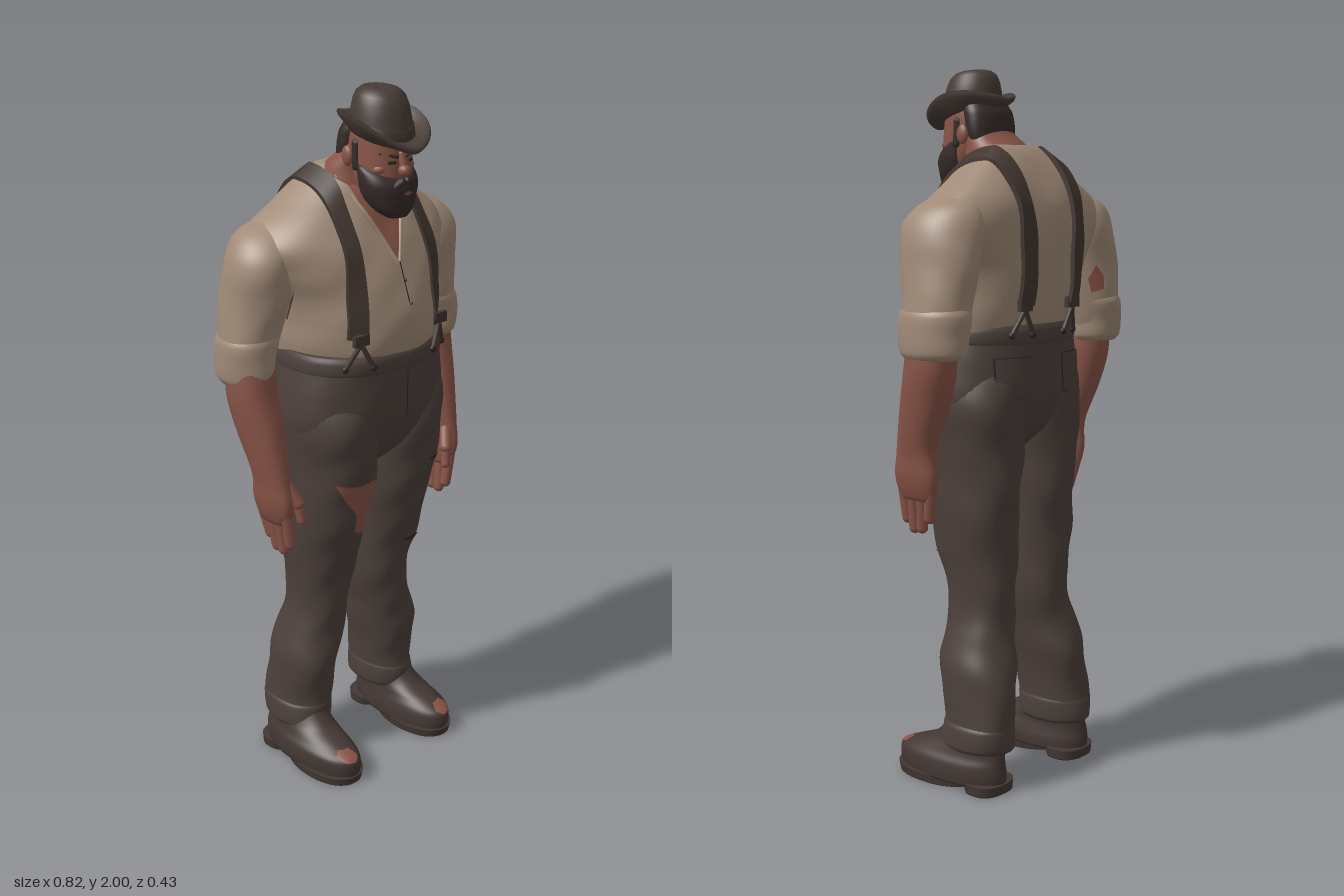
import * as THREE from 'three';
import { toCreasedNormals } from 'three/addons/utils/BufferGeometryUtils.js';

const mat = (name, color, side = THREE.FrontSide) => Object.assign(new THREE.MeshStandardMaterial({ color, side }), { name });
const M = {
  shirt: mat('shirt linen', 0xa08a77), skin: mat('skin', 0x885447),
  trousers: mat('trouser cloth', 0x4c403b), seam: mat('dark seam', 0x2e2624),
  strap: mat('strap leather', 0x41352f), hat: mat('hat felt', 0x473b36, THREE.DoubleSide),
  hair: mat('hair', 0x352b29), boot: mat('boot leather', 0x433733),
};

// A section is [y, centreX, halfWidth, zFront, zBack]; sections rise in y.
const mirror = (secs, s) => secs.map(([y, cx, ...r]) => [y, cx * s, ...r]);

// Body = smooth stack of super-ellipse sections, with soft diagonal cloth folds.
function body(secs, { e = 0.9, bias = 0, fold = 0 } = {}) {
  const tan = (i, k) => {
    const a = secs[Math.max(i - 1, 0)], b = secs[Math.min(i + 1, secs.length - 1)];
    return (b[k] - a[k]) / (b[0] - a[0]);
  };
  const at = (y) => {
    let i = 0;
    while (i < secs.length - 2 && y > secs[i + 1][0]) i++;
    const h = secs[i + 1][0] - secs[i][0], t = THREE.MathUtils.clamp((y - secs[i][0]) / h, 0, 1), t2 = t * t, t3 = t2 * t;
    const [cx, hx, zf, zb] = [1, 2, 3, 4].map((k) => (2 * t3 - 3 * t2 + 1) * secs[i][k] + (t3 - 2 * t2 + t) * h * tan(i, k)
      + (3 * t2 - 2 * t3) * secs[i + 1][k] + (t3 - t2) * h * tan(i + 1, k));
    return { cx, hx, zf, zb, zm: (zf + zb) / 2 + bias };
  };
  const wave = (x, y) => fold * (Math.sin(23 * y + 26 * x) + 0.6 * Math.sin(41 * y - 38 * x));
  const z = (x, y, side) => {
    const s = at(y), u = Math.min(Math.abs((x - s.cx) / s.hx), 1);
    const d = (1 - u ** (2 / e)) ** (e / 2);
    return s.zm + ((side > 0 ? s.zf : s.zb) - s.zm) * d + wave(x, y);
  };
  return { secs, at, wave, z, e };
}

function loftGeometry(b, cols = 44) {
  const y0 = b.secs[0][0], y1 = b.secs.at(-1)[0], rows = b.secs.length * 5, pos = [], idx = [];
  for (let j = -1; j <= rows + 1; j++) {
    const y = y0 + (y1 - y0) * THREE.MathUtils.clamp(j / rows, 0, 1), s = b.at(y), k = j < 0 || j > rows ? 0 : 1;
    for (let i = 0; i < cols; i++) {
      const a = (i / cols) * Math.PI * 2, c = Math.cos(a), n = Math.sin(a);
      const x = s.cx + k * s.hx * Math.sign(c) * Math.abs(c) ** b.e;
      pos.push(x, y, s.zm + k * ((n > 0 ? s.zf : s.zb) - s.zm) * Math.abs(n) ** b.e + b.wave(x, y));
    }
  }
  for (let j = 0; j < rows + 2; j++) for (let i = 0; i < cols; i++) {
    const a = j * cols + i, c = j * cols + (i + 1) % cols;
    idx.push(a, a + cols, c, c, a + cols, c + cols);
  }
  return indexed(pos, idx);
}

function indexed(pos, idx) {
  const g = new THREE.BufferGeometry();
  g.setAttribute('position', new THREE.Float32BufferAttribute(pos, 3));
  g.setIndex(idx);
  g.computeVertexNormals();
  return g;
}

// Thin painted patch that hugs the front (side 1) or back (side -1) of a body.
function patchGeometry(b, poly, side = 1, lift = 0.004) {
  const pts = [], pos = [], idx = [], rings = 6;
  poly.forEach((p, i) => {
    const q = poly[(i + 1) % poly.length];
    for (let k = 0; k < 4; k++) pts.push([p[0] + (q[0] - p[0]) * k / 4, p[1] + (q[1] - p[1]) * k / 4]);
  });
  const n = pts.length, mx = pts.reduce((s, p) => s + p[0] / n, 0), my = pts.reduce((s, p) => s + p[1] / n, 0);
  const area = pts.reduce((s, p, i) => s + p[0] * pts[(i + 1) % n][1] - p[1] * pts[(i + 1) % n][0], 0);
  for (let r = 0; r <= rings; r++) for (const p of pts) {
    const x = mx + (p[0] - mx) * r / rings, y = my + (p[1] - my) * r / rings;
    pos.push(x, y, b.z(x, y, side) + side * lift);
  }
  for (let r = 0; r < rings; r++) for (let i = 0; i < n; i++) {
    const a = r * n + i, c = r * n + (i + 1) % n;
    if (area * side > 0) idx.push(a, a + n, c, c, a + n, c + n);
    else idx.push(a, c, a + n, c, c + n, a + n);
  }
  return indexed(pos, idx);
}

export function createModel() {
  const root = new THREE.Group();
  root.name = 'workman';
  const add = (name, geo, m, parent = root) => {
    const mesh = new THREE.Mesh(geo, m);
    mesh.name = name;
    parent.add(mesh);
    return mesh;
  };
  const limb = (name, a, b, r, m) => {
    const A = new THREE.Vector3(...a), B = new THREE.Vector3(...b), d = B.clone().sub(A);
    const mesh = add(name, new THREE.CapsuleGeometry(r, d.length(), 5, 10), m);
    mesh.position.copy(A).add(B).multiplyScalar(0.5);
    mesh.quaternion.setFromUnitVectors(new THREE.Vector3(0, 1, 0), d.normalize());
  };
  const ball = (name, p, s, m) => {
    const mesh = add(name, new THREE.SphereGeometry(1, 18, 12), m);
    mesh.position.set(...p);
    mesh.scale.set(...s);
  };
  const rect = (x, y, w, h) => [[x - w, y - h], [x + w, y - h], [x + w, y + h], [x - w, y + h]];

  // Shirt body with sloping shoulders and open neck
  const torso = body([[1.27, 0, .222, .18, -.165], [1.33, 0, .235, .2, -.178], [1.4, 0, .24, .203, -.19], [1.47, 0, .258, .188, -.196], [1.54, 0, .3, .165, -.198],
    [1.6, 0, .325, .14, -.194], [1.65, 0, .292, .115, -.183], [1.71, 0, .205, .088, -.155], [1.76, 0, .135, .065, -.12], [1.785, 0, .1, .045, -.094], [1.795, 0, .088, .035, -.078]],
  { e: 0.9, bias: -0.05, fold: 0.0025 });
  add('shirtBody', loftGeometry(torso, 64), M.shirt);
  add('openNeck', patchGeometry(torso, [[-.09, 1.775], [-.058, 1.67], [.004, 1.55], [.06, 1.67], [.09, 1.775]]), M.skin);
  add('shirtSlit', patchGeometry(torso, rect(.005, 1.5, .002, .055)), M.seam);
  for (const y of [1.5, 1.44]) ball('shirtButton', [.012, y, torso.z(.012, y, 1) + .002], [.004, .004, .004], M.strap);
  for (const s of [-1, 1]) {
    const edge = [[.093, 1.772], [.063, 1.68], [.036, 1.625], [.004, 1.548]].map(([x, y]) => new THREE.Vector3(x * s, y, torso.z(x * s, y, 1) + .002));
    add('collarEdge', new THREE.TubeGeometry(new THREE.CatmullRomCurve3(edge), 20, .006, 8), M.shirt);
  }

  // Trousers seat and waistband
  const seat = body([[.93, 0, .08, .05, -.06], [.97, 0, .16, .1, -.1], [1.01, 0, .215, .138, -.138], [1.06, 0, .245, .166, -.16], [1.12, 0, .257, .183, -.175],
    [1.2, 0, .25, .188, -.177], [1.27, 0, .237, .19, -.178], [1.305, 0, .232, .19, -.178]], { e: .82, fold: 0.0015 });
  add('trouserSeat', loftGeometry(seat, 56), M.trousers);
  add('waistband', loftGeometry(body([[1.255, 0, .235, .188, -.177], [1.265, 0, .24, .194, -.182], [1.295, 0, .238, .196, -.183], [1.312, 0, .231, .188, -.176]], { e: .83, fold: 0.0015 }), 56), M.trousers);
  add('flySeam', patchGeometry(seat, rect(.012, 1.18, .002, .07)), M.seam);
  for (const s of [-1, 1]) {
    const pocket = (k) => [[-.055, .055], [.055, .055], [.055, -.05], [0, -.07], [-.055, -.05]].map(([x, y]) => [s * .125 + x * k, 1.17 + y * k]);
    add('backPocketEdge', patchGeometry(seat, pocket(1), -1, .004), M.seam);
    add('backPocket', patchGeometry(seat, pocket(.96), -1, .007), M.trousers);
  }

  for (const s of [-1, 1]) {
    // Trouser leg with turned hem
    const leg = body(mirror([[.125, .172, .07, .02, -.175], [.14, .172, .08, .03, -.187], [.2, .168, .079, .03, -.188], [.28, .163, .083, .042, -.182],
      [.35, .155, .089, .052, -.174], [.42, .14, .084, .05, -.156], [.5, .121, .083, .052, -.145], [.6, .117, .09, .068, -.142], [.7, .121, .098, .095, -.148],
      [.8, .122, .107, .123, -.154], [.9, .12, .114, .15, -.16], [1, .122, .12, .165, -.166], [1.09, .127, .126, .174, -.17], [1.16, .125, .117, .165, -.16], [1.22, .12, .1, .13, -.13]], s),
    { e: .88, fold: .004 });
    add('trouserLeg', loftGeometry(leg), M.trousers);
    add('trouserHem', loftGeometry(body(mirror([[.115, .172, .076, .024, -.18], [.125, .172, .083, .033, -.189], [.18, .17, .083, .033, -.19], [.194, .169, .077, .026, -.184]], s), { fold: .004 })), M.trousers);
    if (s < 0) add('thighTear', patchGeometry(leg, [[-.2, .945], [-.13, .93], [-.07, .935], [-.055, .87], [-.065, .84], [-.06, .785], [-.085, .76], [-.12, .775], [-.13, .84], [-.17, .89]]), M.skin);
    else for (const [x, y] of [[.17, .94], [.15, .66]]) {
      add('trouserRip', patchGeometry(leg, [[x - .04, y], [x, y - .011], [x + .045, y + .004], [x, y + .008]]), M.seam);
    }

    // Boot: upper, sole, heel and worn toe
    const upper = body(mirror([[.022, .186, .08, .195, -.178], [.05, .187, .081, .198, -.181], [.078, .188, .077, .19, -.178], [.1, .185, .069, .145, -.175],
      [.13, .18, .065, .07, -.172], [.18, .174, .06, .02, -.165]], s), { e: .95 });
    add('bootUpper', loftGeometry(upper), M.boot);
    add('bootSole', loftGeometry(body(mirror([[0, .187, .078, .194, -.07], [.026, .187, .082, .199, -.07]], s), { e: .92 })), M.boot);
    add('bootHeel', loftGeometry(body(mirror([[0, .183, .07, -.07, -.18], [.03, .183, .073, -.06, -.183]], s), { e: .78 })), M.boot);
    add('toeHole', patchGeometry(upper, [[.166, .084], [.185, .073], [.215, .075], [.228, .086], [.21, .099], [.178, .098]].map(([x, y]) => [x * s, y])), M.skin);

    // Sleeve and rolled cuff; the right arm hangs a little further back
    const hang = (secs) => mirror(secs, s).map(([y, cx, hx, zf, zb]) => [y, cx, hx, zf + (s < 0 ? -.022 : .008), zb]);
    const sleeve = body(hang([[1.25, .337, .065, .012, -.15], [1.32, .328, .08, .026, -.165], [1.4, .313, .088, .038, -.17], [1.48, .299, .092, .052, -.174],
      [1.54, .288, .097, .06, -.174], [1.59, .277, .093, .055, -.168], [1.63, .262, .077, .03, -.152], [1.655, .245, .05, -.005, -.125], [1.665, .235, .03, -.025, -.1]]), { e: 1, fold: .003 });
    add('sleeve', loftGeometry(sleeve), M.shirt);
    add('rolledCuff', loftGeometry(body(hang([[1.235, .338, .062, .015, -.15], [1.25, .337, .072, .026, -.165], [1.3, .335, .077, .032, -.172],
      [1.35, .326, .084, .036, -.175], [1.37, .32, .08, .03, -.166]]), { e: 1, fold: .003 })), M.shirt);
    if (s < 0) {
      add('sleeveTearFront', patchGeometry(sleeve, [[-.255, 1.5], [-.24, 1.45], [-.25, 1.4], [-.272, 1.42], [-.27, 1.47]], 1, .008), M.skin);
      add('sleeveTearBack', patchGeometry(sleeve, [[-.25, 1.46], [-.238, 1.42], [-.25, 1.38], [-.275, 1.39], [-.272, 1.43]], -1, .007), M.skin);
    }

    // Forearm, palm, fingers and thumb
    add('forearm', loftGeometry(body(mirror([[.84, .316, .022, .065, -.045], [.87, .32, .03, .08, -.055], [.91, .324, .036, .084, -.06], [.96, .326, .038, .074, -.055],
      [1, .327, .044, .066, -.06], [1.1, .331, .057, .045, -.1], [1.2, .336, .065, .02, -.125], [1.3, .335, .062, .005, -.125]], s))), M.skin);
    [[.064, .782], [.03, .757], [-.004, .76], [-.038, .79]].forEach(([z, y]) => limb('finger', [.321 * s, .87, z], [.308 * s, y, z * .8 + .01], .0165, M.skin));
    limb('thumb', [.31 * s, .95, .055], [.291 * s, .905, .076], .019, M.skin);
    limb('thumbTip', [.291 * s, .905, .076], [.284 * s, .855, .083], .014, M.skin);

    // Suspender strap, wrapped over the shoulder
    const pos = [], idx = [], N = 60;
    const strapPoint = (t, off, lift) => {
      const x = THREE.MathUtils.lerp(.1, .147, (t + 1) / 2) + off, low = 1.365;
      let a = 1.6, b = 1.795;
      for (let k = 0; k < 24; k++) { const m = (a + b) / 2; if (torso.at(m).hx > x) a = m; else b = m; }
      const u = Math.abs(t), y = low + (a - low) * (1 - u * u), side = t >= 0 ? 1 : -1;
      const stand = t < 0 ? lift + .014 * u : lift;
      return [x * s, y + lift * (1 - u), torso.z(x * s, y, side) + side * stand * Math.min(1, u * 4)];
    };
    for (let i = 0; i <= N; i++) {
      const t = i / N * 2 - 1;
      for (const [o, l] of [[-.023, -.004], [.023, -.004], [.023, .009], [-.023, .009]]) pos.push(...strapPoint(t, o, l));
    }
    for (let i = 0; i < N; i++) for (let k = 0; k < 4; k++) {
      const a = i * 4 + k, b = i * 4 + (k + 1) % 4;
      if (s > 0) idx.push(a, b, a + 4, b, b + 4, a + 4);
      else idx.push(a, a + 4, b, b, a + 4, b + 4);
    }
    add('suspenderStrap', toCreasedNormals(indexed(pos, idx), 0.7), M.strap);
    // Strap clip and forked tabs, front and back
    for (const side of [1, -1]) {
      const x = (side > 0 ? .147 : .1) * s, z0 = torso.z(x, 1.36, side) + side * .014;
      const clip = add('strapClip', new THREE.BoxGeometry(.05, .03, .014), M.strap);
      clip.position.set(x, 1.365, z0);
      for (const d of [-.034, .034]) {
        const z1 = seat.z(x + d, 1.285, side) + side * .01;
        limb('strapTab', [x, 1.355, z0], [x + d, 1.285, z1], .007, M.strap);
        ball('tabButton', [x + d, 1.285, z1], [.01, .01, .008], M.seam);
      }
    }
  }

  // Neck and head
  add('neck', loftGeometry(body([[1.7, 0, .1, .07, -.08], [1.74, 0, .105, .078, -.09], [1.785, 0, .097, .075, -.078], [1.83, .006, .083, .09, -.03], [1.88, .01, .07, .09, -.01]])), M.skin);
  const head = body([[1.69, .01, .045, .14, .06], [1.74, .01, .073, .16, .03], [1.79, .01, .08, .164, 0], [1.84, .01, .082, .16, -.012], [1.89, .01, .079, .155, -.014], [1.92, .01, .07, .14, .01]]);
  add('head', loftGeometry(head), M.skin);
  add('hair', loftGeometry(body([[1.79, .01, .06, .04, -.022], [1.81, .01, .083, .05, -.028], [1.88, .01, .086, .07, -.022], [1.912, .01, .076, .08, -.004]])), M.hair);
  const beard = body([[1.668, .01, .03, .165, .125], [1.685, .01, .055, .172, .095], [1.72, .01, .078, .176, .06], [1.755, .01, .087, .176, .048], [1.785, .01, .0875, .152, .045], [1.805, .01, .086, .11, .05]], { fold: .002 });
  add('beard', loftGeometry(beard), M.hair);
  add('lips', patchGeometry(beard, [[-.008, 1.736], [.01, 1.73], [.028, 1.736], [.01, 1.742]], 1, .006), M.skin);
  ball('nose', [.01, 1.793, .168], [.016, .017, .02], M.skin);
  limb('noseBridge', [.01, 1.8, .168], [.01, 1.835, .158], .011, M.skin);
  for (const s of [-1, 1]) {
    limb('moustache', [.01 + .01 * s, 1.765, .172], [.01 + .04 * s, 1.745, .16], .012, M.hair);
    limb('eyebrow', [.01 + .018 * s, 1.83, .16], [.01 + .055 * s, 1.839, .135], .006, M.hair);
    add('eye', patchGeometry(head, rect(.01 + .034 * s, 1.816, .011, .004)), M.seam);
    ball('cheek', [.01 + .045 * s, 1.797, .125], [.026, .018, .025], M.skin);
    ball('ear', [.01 + .086 * s, 1.825, .045], [.011, .027, .019], M.skin);
    limb('sideburn', [.01 + .079 * s, 1.8, .072], [.01 + .078 * s, 1.86, .07], .011, M.hair);
  }

  // Hat: tilted forward, thick brim rolled up at the sides, level rounded crown
  const hat = new THREE.Group();
  hat.name = 'hat';
  hat.position.set(.012, 1.88, .083);
  hat.rotation.x = .26;
  root.add(hat);
  const hatShape = (profile) => {
    const g = new THREE.LatheGeometry(profile.map(([r, y]) => new THREE.Vector2(r, y)), 56), p = g.attributes.position;
    for (let i = 0; i < p.count; i++) {
      const x = p.getX(i), y = p.getY(i), z = p.getZ(i), up = Math.max(y, 0), brim = THREE.MathUtils.smoothstep(Math.hypot(x, z), .074, .112);
      p.setXYZ(i, x, y + .046 * Math.abs(x / .11) ** 1.6 * brim + 1.6 * z * up * (1 - brim), z * (1.04 + .18 * brim) - .32 * up);
    }
    g.computeVertexNormals();
    return g;
  };
  add('hatBrim', hatShape([[.07, -.006], [.085, -.006], [.1, -.007], [.108, -.006], [.113, .002], [.109, .01], [.1, .011], [.088, .008], [.07, .012]]), M.hat, hat);
  add('hatCrown', hatShape([[.084, 0], [.082, .02], [.079, .05], [.073, .077], [.064, .097], [.05, .109], [.036, .113], [.02, .111], [.001, .109]]), M.hat, hat);
  add('hatBand', hatShape([[.082, .006], [.0855, .008], [.084, .03], [.079, .032]]), M.strap, hat);
  return root;
}
